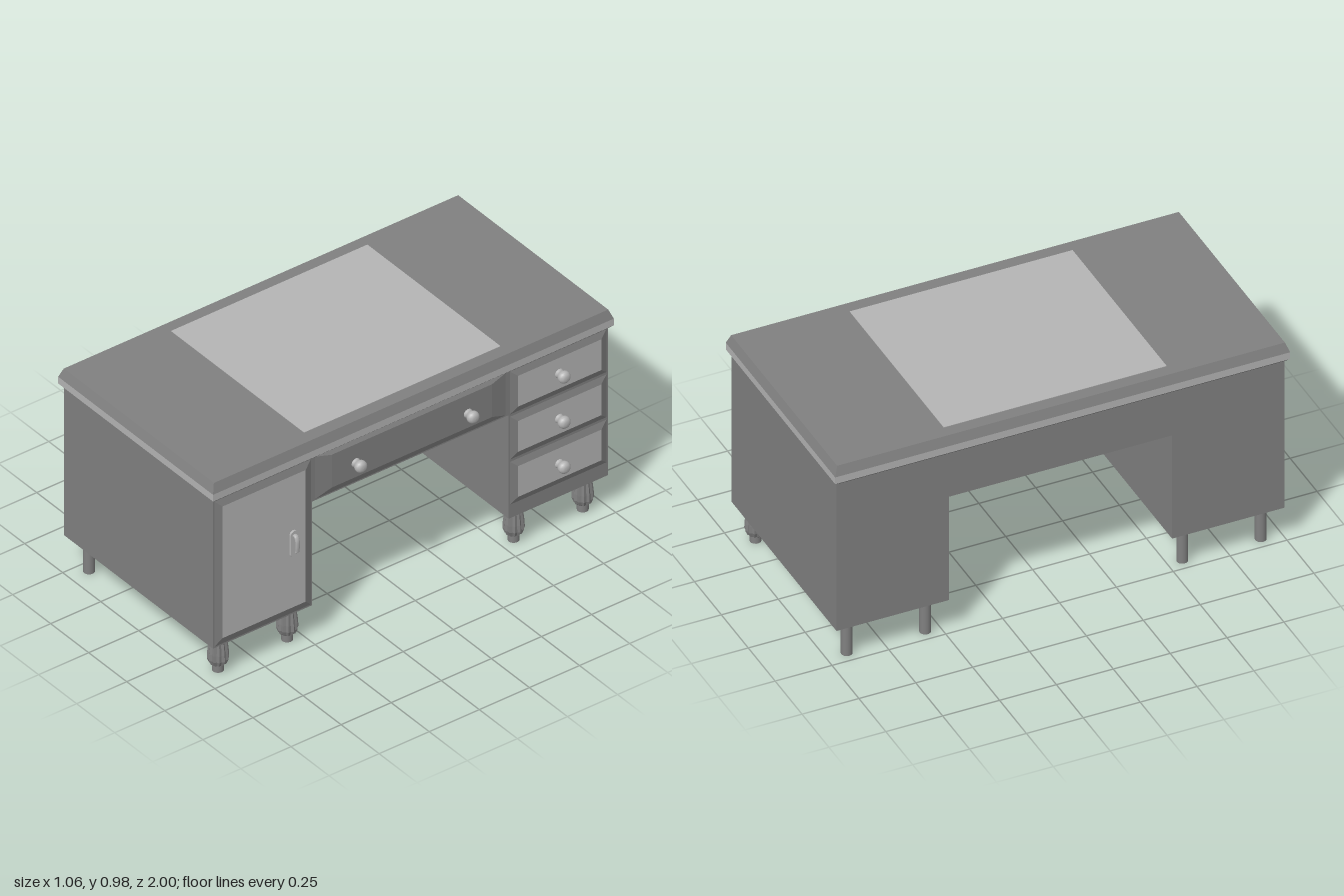
import * as THREE from 'three';

const dark = new THREE.MeshStandardMaterial({ color: 0x808080 });
dark.name = 'dark wood';
const light = new THREE.MeshStandardMaterial({ color: 0xb4b4b4 });
light.name = 'light inlay';

const BACK = -0.51, FACE = 0.468, FRONT = 0.478, RECESS = 0.033;

function add(parent, name, geometry, material, x = 0, y = 0, z = 0) {
  const mesh = new THREE.Mesh(geometry, material);
  mesh.name = name;
  mesh.position.set(x, y, z);
  parent.add(mesh);
  return mesh;
}

// Box given by its limits
function block(parent, name, material, x0, x1, y0, y1, z0, z1) {
  return add(parent, name, new THREE.BoxGeometry(x1 - x0, y1 - y0, z1 - z0), material,
    (x0 + x1) / 2, (y0 + y1) / 2, (z0 + z1) / 2);
}

// Slab whose upper and lower edges are inset by different amounts
function slab(parent, name, material, y0, y1, inset0, inset1) {
  const geo = new THREE.BoxGeometry(1, 1, 1);
  const p = geo.attributes.position;
  for (let i = 0; i < p.count; i++) {
    const up = p.getY(i) > 0, inset = up ? inset1 : inset0;
    p.setXYZ(i, p.getX(i) > 0 ? 0.488 - inset : -0.53 + inset, up ? y1 : y0,
      Math.sign(p.getZ(i)) * (1 - inset));
  }
  geo.computeVertexNormals();
  return add(parent, name, geo, material);
}

// Raised front with sloping borders: outer and inner are [y0, y1, z0, z1]
function raisedFront(parent, name, outer, inner, faceMaterial) {
  const geo = new THREE.BoxGeometry(1, 1, 1);
  const p = geo.attributes.position;
  for (let i = 0; i < p.count; i++) {
    const out = p.getX(i) > 0, r = out ? inner : outer;
    p.setXYZ(i, out ? FRONT : FACE - 0.002, p.getY(i) > 0 ? r[1] : r[0], p.getZ(i) > 0 ? r[3] : r[2]);
  }
  geo.computeVertexNormals();
  add(parent, name, geo, [faceMaterial, dark, dark, dark, dark, dark]);
}

// Carcass block with a framed, sunken back
function carcass(parent, name, y0, y1, z0, z1, border) {
  const group = new THREE.Group();
  group.name = name;
  parent.add(group);
  const x = BACK + RECESS;
  block(group, 'body', dark, x, FACE, y0, y1, z0, z1);
  const rect = (Type, d) => new Type([[z0 + d, y0 + d], [z1 - d, y0 + d], [z1 - d, y1 - d], [z0 + d, y1 - d]]
    .map(([a, b]) => new THREE.Vector2(-a, b)));
  const shape = rect(THREE.Shape, 0);
  shape.holes.push(rect(THREE.Path, border));
  const geo = new THREE.ExtrudeGeometry(shape, { depth: RECESS, bevelEnabled: false });
  geo.rotateY(Math.PI / 2);
  add(group, 'backFrame', geo, dark, BACK);
}

// Turned knob pointing to +x
function knob(parent, y, z) {
  const profile = [[0.021, 0], [0.019, 0.008], [0.019, 0.014], [0.025, 0.022], [0.0275, 0.031],
    [0.026, 0.041], [0.019, 0.049], [0.01, 0.052], [0, 0.0525]].map(([r, h]) => new THREE.Vector2(r, h));
  const geo = new THREE.LatheGeometry(profile, 20);
  geo.rotateZ(-Math.PI / 2);
  add(parent, 'knob', geo, light, FRONT, y, z);
}

// Fluted front leg: a turned profile with alternate edges pulled in
function flutedLeg(parent, x, z) {
  const profile = [[0.024, 0.03], [0.036, 0.038], [0.045, 0.06], [0.044, 0.09], [0.034, 0.172]]
    .map(([r, h]) => new THREE.Vector2(r, h));
  const sides = 24;
  let geo = new THREE.LatheGeometry(profile, sides);
  const p = geo.attributes.position;
  for (let i = 0; i < p.count; i++) {
    const column = Math.floor(i / profile.length) % sides;
    const k = column % 2 ? 0.86 : 1;
    p.setX(i, p.getX(i) * k);
    p.setZ(i, p.getZ(i) * k);
  }
  geo = geo.toNonIndexed();
  geo.computeVertexNormals();
  const leg = new THREE.Group();
  leg.name = 'frontLeg';
  leg.position.set(x, 0, z);
  parent.add(leg);
  add(leg, 'flutedBulb', geo, dark);
  add(leg, 'foot', new THREE.CylinderGeometry(0.024, 0.024, 0.04, 20), dark, 0, 0.02);
}

export function createModel() {
  const desk = new THREE.Group();
  desk.name = 'desk';

  // Carcass
  carcass(desk, 'doorPedestal', 0.17, 0.89, 0.49, 0.985, 0.045);
  carcass(desk, 'drawerPedestal', 0.17, 0.89, -0.985, -0.49, 0.045);
  carcass(desk, 'kneeBridge', 0.675, 0.89, -0.49, 0.49, 0.04);

  // Table top with a light edge band and writing surface
  slab(desk, 'topUnderside', dark, 0.89, 0.905, 0.016, 0);
  slab(desk, 'topEdgeBand', light, 0.905, 0.938, 0, 0);
  slab(desk, 'topBoard', dark, 0.938, 0.98, 0, 0.016);
  block(desk, 'writingSurface', light, -0.46, 0.415, 0.978, 0.982, -0.49, 0.49);

  // Door, wide drawer and stacked drawers
  raisedFront(desk, 'door', [0.17, 0.89, 0.49, 0.985], [0.21, 0.852, 0.53, 0.945], light);
  raisedFront(desk, 'wideDrawer', [0.675, 0.89, -0.49, 0.49], [0.71, 0.87, -0.4, 0.4], dark);
  for (const z of [-0.28, 0.28]) knob(desk, 0.78, z);
  for (let i = 0; i < 3; i++) {
    const y = 0.78 - i * 0.22;
    raisedFront(desk, 'drawer', [y - 0.11, y + 0.11, -0.985, -0.49], [y - 0.075, y + 0.075, -0.945, -0.53], light);
    knob(desk, y, -0.735);
  }

  // Door pull: rounded plate with a hanging drop
  const pull = new THREE.Group();
  pull.name = 'doorPull';
  pull.position.set(FRONT, 0.522, 0.593);
  desk.add(pull);
  const plate = new THREE.Shape();
  plate.absarc(0, 0.046, 0.018, 0, Math.PI);
  plate.absarc(0, -0.046, 0.018, Math.PI, Math.PI * 2);
  const plateGeo = new THREE.ExtrudeGeometry(plate, { depth: 0.009, bevelEnabled: false, curveSegments: 10 });
  plateGeo.rotateY(Math.PI / 2);
  add(pull, 'plate', plateGeo, light);
  const path = new THREE.CatmullRomCurve3([[0.006, 0.044], [0.02, 0.045], [0.028, 0.03], [0.03, 0], [0.028, -0.026]]
    .map(([x, y]) => new THREE.Vector3(x, y, 0)));
  const drop = new THREE.TubeGeometry(path, 16, 0.005, 8);
  drop.scale(1, 1, 2.2);
  add(pull, 'drop', drop, light);
  const tip = add(pull, 'dropTip', new THREE.SphereGeometry(0.005, 12, 8), light, 0.028, -0.026);
  tip.scale.z = 2.2;

  // Legs
  for (const z of [-0.91, -0.565, 0.565, 0.91]) {
    flutedLeg(desk, 0.402, z);
    add(desk, 'backLeg', new THREE.CylinderGeometry(0.024, 0.024, 0.172, 20), dark, -0.446, 0.086, z);
  }
  return desk;
}
